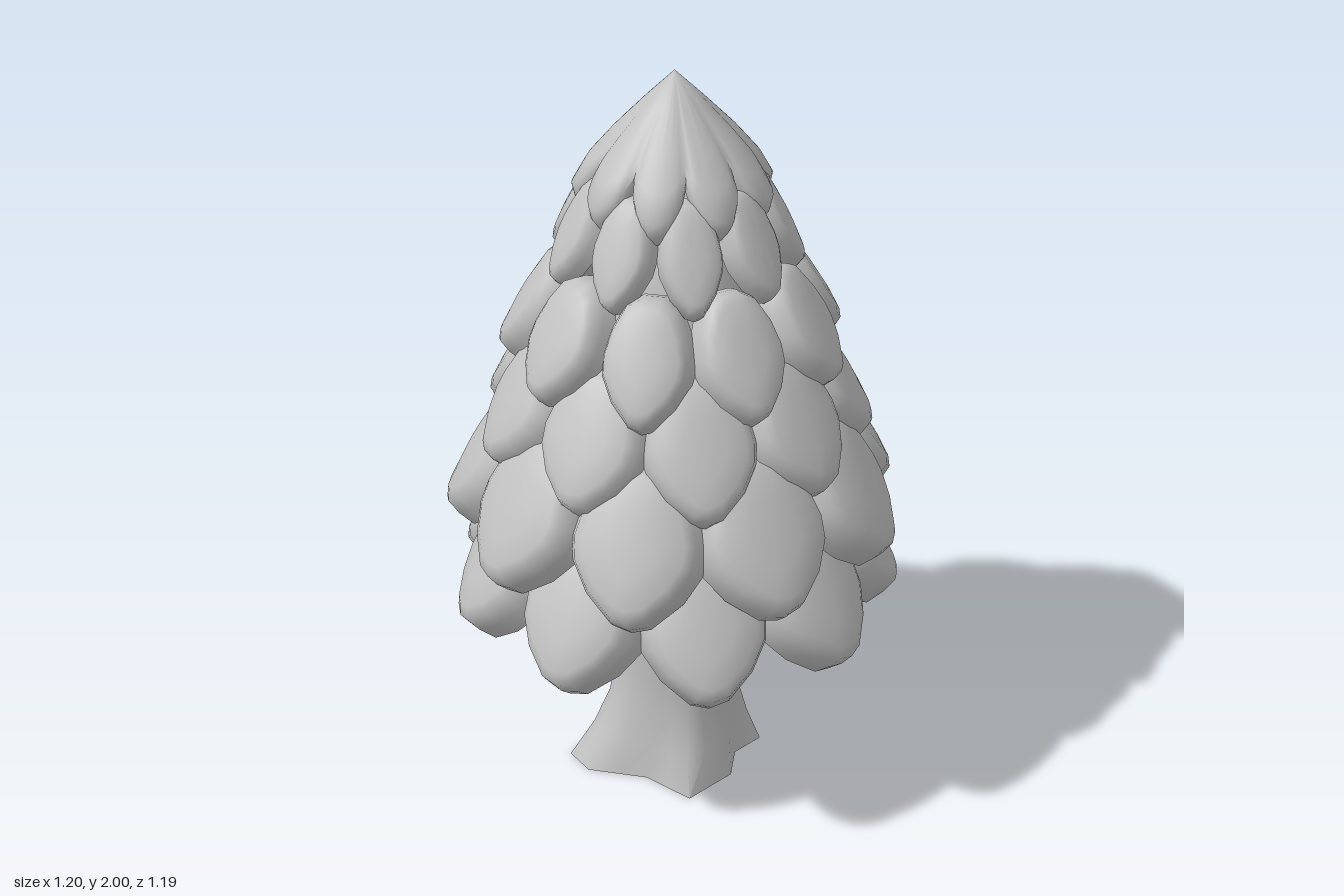
import * as THREE from 'three';
import { toCreasedNormals } from 'three/addons/utils/BufferGeometryUtils.js';

// Skin a stack of closed loops (each a list of [x, y, z]) into one surface.
function loft(loops, crease) {
  const n = loops[0].length, index = [];
  for (let i = 0; i < loops.length - 1; i++) {
    for (let j = 0; j < n; j++) {
      const k = (j + 1) % n;
      const a = i * n + j, b = i * n + k, c = b + n, d = a + n;
      index.push(a, b, c, a, c, d);
    }
  }
  const geo = new THREE.BufferGeometry();
  geo.setAttribute('position', new THREE.Float32BufferAttribute(loops.flat(2), 3));
  geo.setIndex(index);
  return toCreasedNormals(geo, crease);
}

// Thick leaf-shaped pad: local y runs up the slope, z points outward, tip at the origin.
function padGeometry(halfWidth, length, thick) {
  const half = [[0.28, 0.03], [0.7, 0.19], [0.97, 0.38], [1, 0.53], [0.86, 0.74], [0.58, 0.93], [0.25, 1]];
  const outline = [[0, 0], ...half, ...half.map(([u, v]) => [-u, v]).reverse()];
  // [outward offset, outline scale]
  const layers = [[0, 0], [0, 0.92], [0.04, 1], [0.5, 0.96], [0.9, 0.88],
    [1.03, 0.74], [1.1, 0.4], [1.12, 0]];
  return loft(layers.map(([w, s]) => outline.map(([u, v]) => {
    const x = u * s * halfWidth;
    return [x, (0.5 + (v - 0.5) * s) * length, w * thick - x * x * 0.7];
  })), 0.9);
}

export function createModel() {
  const model = new THREE.Group();
  const grey = new THREE.MeshStandardMaterial({ color: 0xc0c0c0 });
  grey.name = 'plain grey';
  const add = (name, geo, parent = model) => {
    const mesh = new THREE.Mesh(geo, grey);
    mesh.name = name;
    parent.add(mesh);
    return mesh;
  };

  // Trunk: four uneven roots blending into a round stem, hidden core above
  const corners = [[-0.066, 0.27], [0.08, 0.213], [0.13, 0.125], [0.22, 0.09], [0.214, -0.087],
    [0.125, -0.14], [0.06, -0.28], [-0.03, -0.35], [-0.12, -0.125], [-0.295, -0.04],
    [-0.275, 0.048], [-0.14, 0.14]];
  const foot = corners.flatMap(([x, z], i) => {
    const [nx, nz] = corners[(i + 1) % corners.length];
    return [[x, z], [(x + nx) / 2, (z + nz) / 2]];
  });
  // [height, stem radius, share of the root shape]
  const stem = [[0, 0.17, 1], [0.1, 0.168, 0.5], [0.2, 0.165, 0.18], [0.38, 0.165, 0], [0.5, 0.178, 0],
    [0.65, 0.2, 0], [0.85, 0.225, 0], [1, 0.25, 0], [1.25, 0.23, 0], [1.5, 0.18, 0], [1.75, 0.08, 0]];
  const trunkLoops = stem.map(([y, r, root]) => foot.map(([x, z]) => {
    const a = Math.atan2(x, z);
    return [
      THREE.MathUtils.lerp(Math.sin(a) * r * 0.95, x, root), y,
      THREE.MathUtils.lerp(Math.cos(a) * r * 1.07, z, root),
    ];
  }));
  add('trunk', loft([foot.map(() => [0, 0, 0]), ...trunkLoops, foot.map(() => [0, 1.78, 0])], 1.25));

  // Rings of nine foliage pads, each ring staggered against the next
  const sides = 9;
  const rings = [
    { r: 0.52, y: 0.475, halfWidth: 0.167, length: 0.43, thick: 0.115, tilt: 0.52 },
    { r: 0.535, y: 0.715, halfWidth: 0.174, length: 0.44, thick: 0.105, tilt: 0.53 },
    { r: 0.46, y: 0.975, halfWidth: 0.146, length: 0.39, thick: 0.085, tilt: 0.54 },
    { r: 0.398, y: 1.205, halfWidth: 0.115, length: 0.345, thick: 0.08, tilt: 0.54 },
    { r: 0.287, y: 1.46, halfWidth: 0.08, length: 0.3, thick: 0.06, tilt: 0.46 },
  ];
  rings.forEach((ring, i) => {
    const group = new THREE.Group();
    group.name = `foliageRing${i + 1}`;
    model.add(group);
    const geo = padGeometry(ring.halfWidth, ring.length, ring.thick);
    for (let k = 0; k < sides; k++) {
      const a = THREE.MathUtils.degToRad((i % 2 ? 6.5 : -12.5) + k * 360 / sides);
      const pad = add('foliagePad', geo, group);
      pad.position.set(Math.sin(a) * ring.r, ring.y, Math.cos(a) * ring.r);
      pad.rotation.set(-ring.tilt, a, 0, 'YXZ');
    }
  });

  // Crown: cone with nine drooping lobes; rows give [radius, height] at lobe and at notch
  const rows = [
    [0, 1.72, 0, 1.78], [0.13, 1.7, 0.12, 1.77], [0.225, 1.635, 0.17, 1.755], [0.248, 1.665, 0.182, 1.765],
    [0.256, 1.7, 0.185, 1.785], [0.22, 1.765, 0.167, 1.815], [0.158, 1.84, 0.132, 1.858],
    [0.076, 1.925, 0.07, 1.928], [0, 2, 0, 2],
  ];
  const segments = sides * 10;
  add('crown', loft(rows.map(([lr, ly, nr, ny]) => Array.from({ length: segments }, (_, j) => {
    const a = (j / segments) * Math.PI * 2;
    const c = Math.abs(Math.cos(a * sides / 2));
    const r = THREE.MathUtils.lerp(nr, lr, c ** 0.7);
    const turned = a + THREE.MathUtils.degToRad(6.5);
    return [Math.sin(turned) * r, THREE.MathUtils.lerp(ny, ly, c ** 0.8), Math.cos(turned) * r];
  })), 1.2));

  return model;
}
